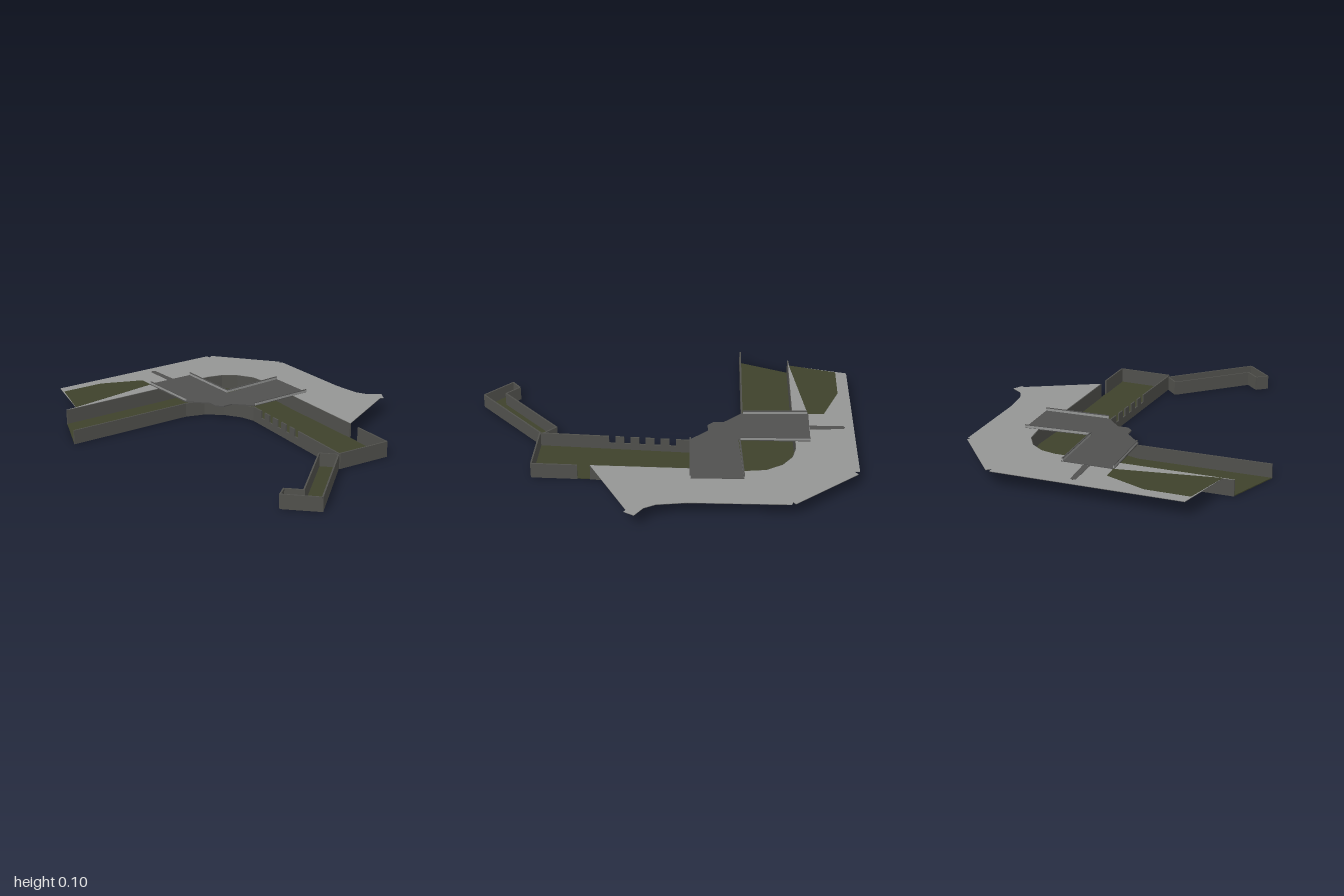
import * as THREE from 'three';

const mat = (name, color) => {
  const m = new THREE.MeshStandardMaterial({ color });
  m.name = name;
  return m;
};

export function createModel() {
  const model = new THREE.Group();
  model.name = 'canalMap';
  const ground = mat('lightGrey', 0x949594);
  const deck = mat('darkGrey', 0x50504f);
  const stone = mat('wallGrey', 0x50504c);
  const olive = mat('olive', 0x3e422b);

  // Flat slab from an [x, z] outline
  function slab(name, outline, y, thick, material) {
    const shape = new THREE.Shape(outline.map(([x, z]) => new THREE.Vector2(x, -z)));
    const geo = new THREE.ExtrudeGeometry(shape, { depth: thick, bevelEnabled: false });
    geo.rotateX(-Math.PI / 2);
    const mesh = new THREE.Mesh(geo, material);
    mesh.name = name;
    mesh.position.y = y;
    model.add(mesh);
  }

  // Upright thin panel between two [x, z] points
  function panel(name, a, b, y0, y1, material, thick = 0.008) {
    const dx = b[0] - a[0], dz = b[1] - a[1];
    const geo = new THREE.BoxGeometry(Math.hypot(dx, dz), y1 - y0, thick);
    const mesh = new THREE.Mesh(geo, material);
    mesh.name = name;
    mesh.position.set((a[0] + b[0]) / 2, (y0 + y1) / 2, (a[1] + b[1]) / 2);
    mesh.rotation.y = -Math.atan2(dz, dx);
    model.add(mesh);
  }

  function wallRun(name, pts, height) {
    for (let i = 0; i + 1 < pts.length; i++) panel(name, pts[i], pts[i + 1], 0, height, stone);
  }
  const mix = (a, b, t) => [a[0] + (b[0] - a[0]) * t, a[1] + (b[1] - a[1]) * t];

  // Canal outlines: outer bend and inner bend
  const outer = [[-0.695, -0.685], [-0.115, -0.668], [0.15, -0.665], [0.22, -0.662], [0.3, -0.64],
    [0.37, -0.585], [0.418, -0.5], [0.428, -0.38], [0.404, -0.12], [0.376, 0.385]];
  const southEast = [0.357, 0.683], southWest = [0.065, 0.66];
  const inner = [[0.135, -0.125], [0.115, -0.205], [0.06, -0.295], [-0.02, -0.365],
    [-0.12, -0.4], [-0.81, -0.42]];
  slab('canalFloor', [...outer, southEast, southWest, ...inner], 0, 0.005, olive);

  // Outer wall with a narrow gap, then the closed south end
  wallRun('outerWall', outer, 0.083);
  wallRun('southWall', [[0.371, 0.45], southEast, southWest], 0.083);
  wallRun('innerWall', inner, 0.076);

  // Notched stretch of the inner wall
  const start = mix(southWest, inner[0], 0.46), end = mix(southWest, inner[0], 0.96);
  panel('innerWall', southWest, start, 0, 0.08, stone);
  panel('innerWall', end, inner[0], 0, 0.08, stone);
  panel('notchedWallBase', start, end, 0, 0.04, stone);
  for (let i = 0; i < 5; i++) {
    panel('merlon', mix(start, end, (i + 0.42) / 5), mix(start, end, (i + 1) / 5), 0.04, 0.08, stone);
  }

  // Narrow side channel
  const channel = [[0.065, 0.65], [-0.33, 0.995], [-0.465, 0.85], [-0.41, 0.808], [-0.345, 0.878], [0, 0.578]];
  slab('channelFloor', channel, 0, 0.005, olive);
  wallRun('channelWall', [...channel, channel[0]], 0.075);

  // Upper ground: light surface over a dark underside
  const land = [[-0.55, -1], [0.43, -0.965], [0.43, -0.935], [0.455, -0.955], [0.71, -0.625],
    [0.695, -0.612], [0.715, -0.605], [0.7, -0.1], [0.715, 0.05], [0.745, 0.11], [0.805, 0.155],
    [0.775, 0.205], [0.76, 0.195], ...outer.slice().reverse(), [-0.637, -0.687]];
  slab('groundSurface', land, 0.083, 0.002, ground);
  slab('groundUnderside', land, 0.081, 0.002, deck);

  // Olive field, showing on both faces of the ground
  slab('oliveField', [[-0.56, -0.94], [-0.33, -0.93], [-0.115, -0.835], [-0.115, -0.75],
    [-0.637, -0.687]], 0.08, 0.006, olive);

  // Corner bridge deck, stepped at the inside of the bend, and the thin spur behind it
  slab('bridgeDeck', [[-0.12, -0.752], [0.155, -0.742], [0.138, -0.37], [0.498, -0.385], [0.493, -0.12],
    [0.135, -0.125], [0.055, -0.215], [0, -0.215], [-0.03, -0.245], [-0.03, -0.3], [-0.12, -0.4]],
    0.082, 0.006, deck);
  slab('deckSpur', [[0.002, -0.75], [0.006, -0.925], [0.02, -0.935], [0.034, -0.925], [0.038, -0.75]],
    0.084, 0.002, deck);

  // Railings along the four straight deck edges
  const rails = [
    [[-0.115, -0.745], [-0.115, -0.405]], [[0.148, -0.742], [0.142, -0.378]],
    [[0.142, -0.376], [0.498, -0.385]], [[0.14, -0.122], [0.493, -0.118]],
  ];
  for (const [a, b] of rails) {
    panel('railing', a, b, 0.088, 0.101, ground, 0.005);
    panel('railingCap', a, b, 0.101, 0.104, deck, 0.007);
  }
  return model;
}
